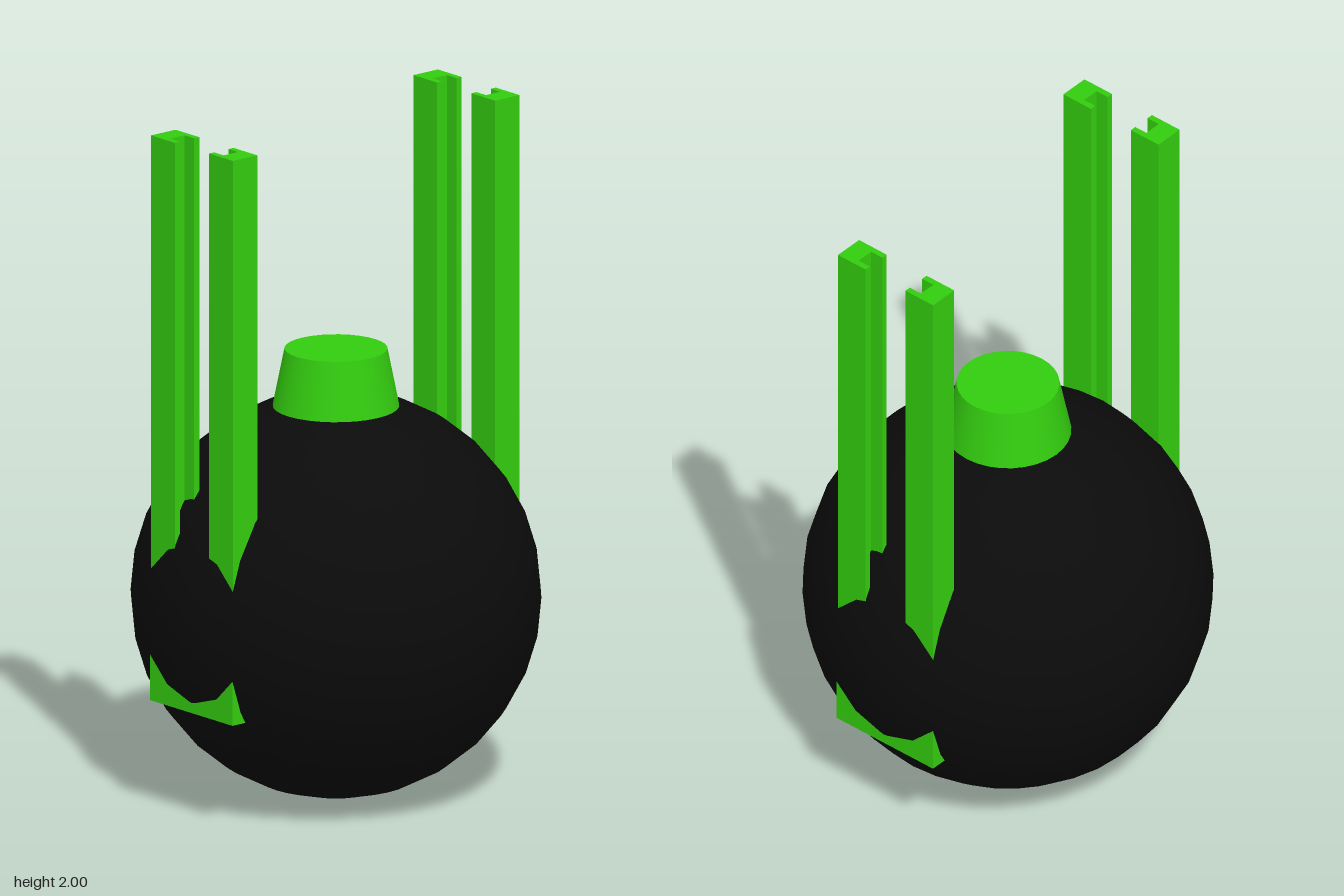
import * as THREE from 'three';

const black = new THREE.MeshStandardMaterial({ color: 0x0b0b0b });
const green = new THREE.MeshStandardMaterial({ color: 0x33cc0f });

function addMesh(parent, name, geometry, material, x = 0, y = 0, z = 0) {
  const mesh = new THREE.Mesh(geometry, material);
  mesh.name = name;
  mesh.position.set(x, y, z);
  parent.add(mesh);
  return mesh;
}

// Upright C-channel; side is -1 or 1 for back or front, slot facing the middle
function channelGeometry(side, bottom, top) {
  const w = 0.046, slot = 0.027;
  const inner = 0.075, floor = 0.117, outer = 0.179;
  const points = [
    [-w, outer], [-w, inner], [-slot, inner], [-slot, floor],
    [slot, floor], [slot, inner], [w, inner], [w, outer],
  ].map(([x, z]) => new THREE.Vector2(x, -z * side));
  const geometry = new THREE.ExtrudeGeometry(new THREE.Shape(points), {
    depth: top - bottom, bevelEnabled: false,
  });
  return geometry.rotateX(-Math.PI / 2).translate(0, bottom, 0);
}

export function createModel() {
  const model = new THREE.Group();
  model.name = 'ballWithRails';

  // Round body
  addMesh(model, 'body', new THREE.SphereGeometry(0.587, 32, 16), black, 0, 0.587, 0);

  // Tapered cap, sunk into the body
  addMesh(model, 'cap', new THREE.CylinderGeometry(0.147, 0.181, 0.17, 32), green, 0, 1.227, 0);

  // A pair of slotted rails on each side, joined by a foot
  for (const side of [-1, 1]) {
    const rails = new THREE.Group();
    rails.name = side > 0 ? 'leftRails' : 'rightRails';
    rails.position.set(side * 0.492, 0, -0.003);
    model.add(rails);
    addMesh(rails, 'frontRail', channelGeometry(1, 0.34, 2), green);
    addMesh(rails, 'backRail', channelGeometry(-1, 0.34, 2), green);
    addMesh(rails, 'foot', new THREE.BoxGeometry(0.098, 0.14, 0.362), green, 0, 0.4, 0);
  }
  return model;
}
